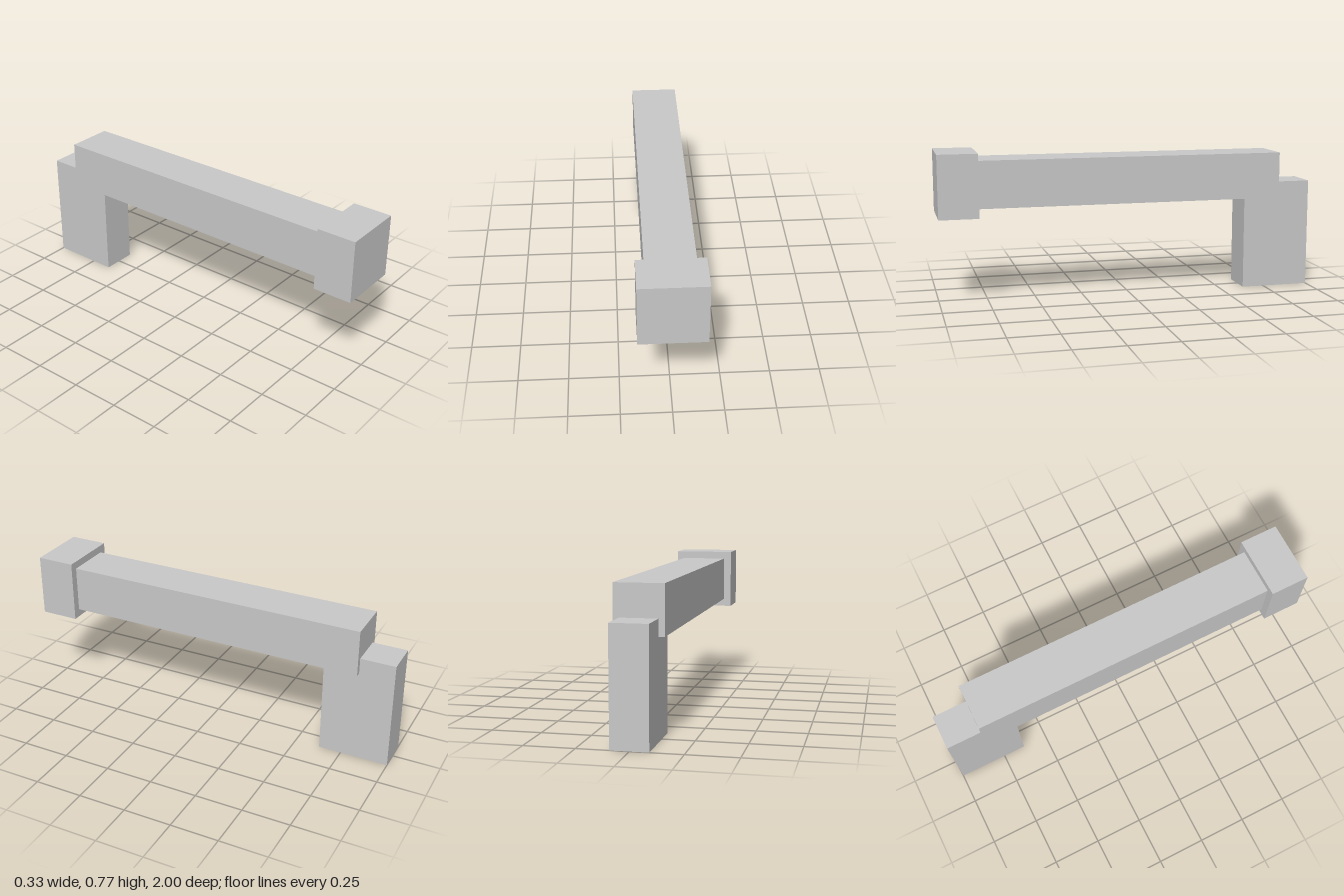
import * as THREE from 'three';

export function createModel() {
  const group = new THREE.Group();
  const lightGrey = new THREE.MeshStandardMaterial({ color: 0xc8c8c8 });
  lightGrey.name = 'lightGrey';

  // Box centred on x, given by its width and its y and z ranges
  function block(name, width, y0, y1, z0, z1) {
    const mesh = new THREE.Mesh(new THREE.BoxGeometry(width, y1 - y0, z1 - z0), lightGrey);
    mesh.name = name;
    mesh.position.set(0, (y0 + y1) / 2, (z0 + z1) / 2);
    group.add(mesh);
  }

  // Upright grip at the back, overlapping the end of the bar
  block('grip', 0.184, 0, 0.574, -1, -0.632);
  // Long horizontal bar
  block('bar', 0.244, 0.491, 0.735, -0.817, 0.797);
  // Wider block capping the front end
  block('frontCap', 0.326, 0.449, 0.775, 0.797, 1);

  return group;
}
